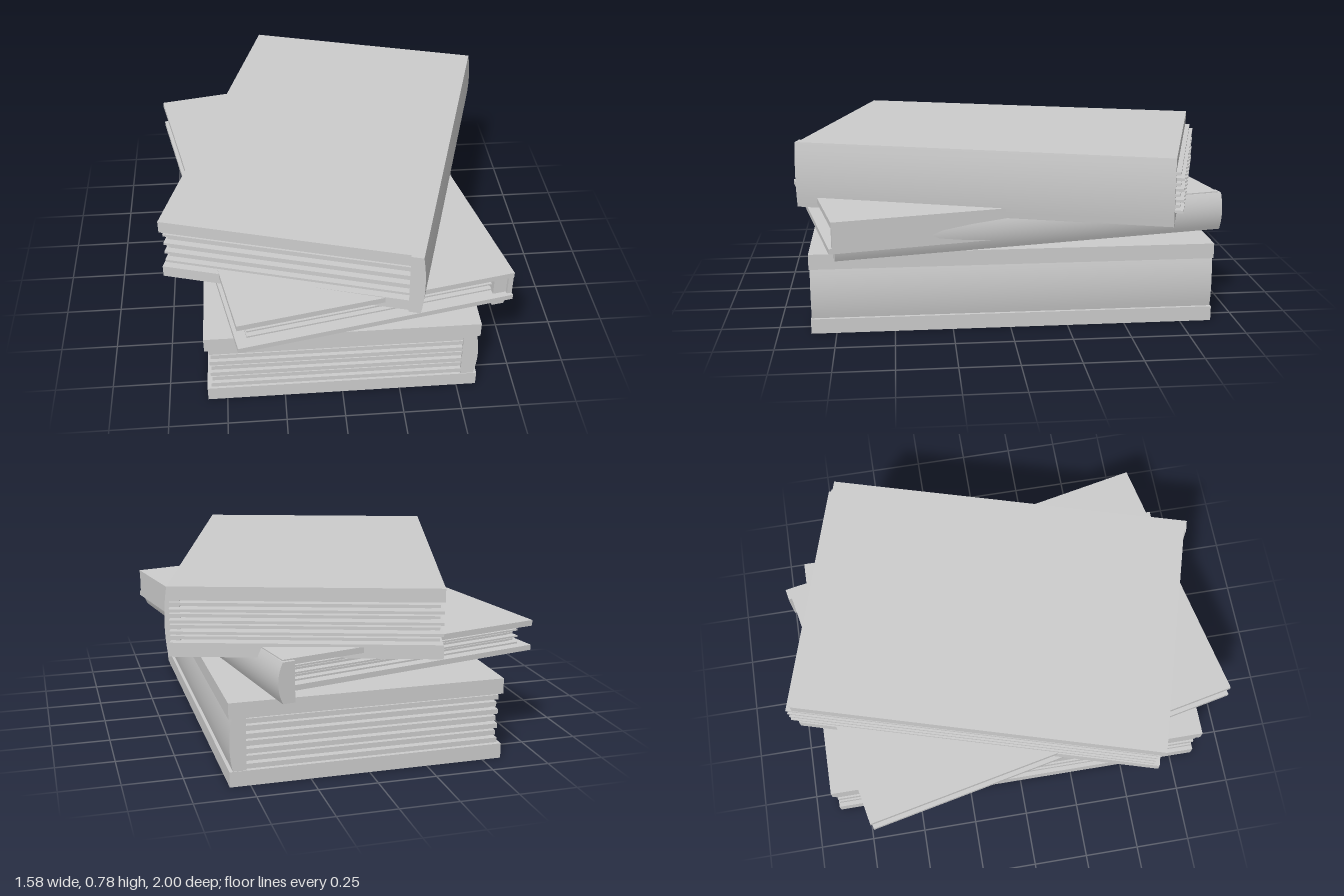
import * as THREE from 'three';

const paper = new THREE.MeshStandardMaterial({ color: 0xcccccc });
paper.name = 'plainGrey';

// Box given by its min and max corners
function block(name, x0, x1, y0, y1, z0, z1) {
  const geo = new THREE.BoxGeometry(x1 - x0, y1 - y0, z1 - z0);
  geo.translate((x0 + x1) / 2, (y0 + y1) / 2, (z0 + z1) / 2);
  const mesh = new THREE.Mesh(geo, paper);
  mesh.name = name;
  return mesh;
}

// Spine whose outer (+x) face bulges smoothly over its height
function spine(x0, x1, y0, y1, z0, z1, bulge) {
  const w = x1 - x0 - bulge, h = y1 - y0;
  const geo = new THREE.BoxGeometry(w, h, z1 - z0, 1, 10, 1);
  const p = geo.attributes.position;
  for (let i = 0; i < p.count; i++) {
    if (p.getX(i) > 0) {
      const t = (2 * p.getY(i)) / h;
      p.setX(i, w / 2 + bulge * (1 - t * t));
    }
  }
  geo.computeVertexNormals();
  geo.translate(x0 + w / 2, (y0 + y1) / 2, (z0 + z1) / 2);
  const mesh = new THREE.Mesh(geo, paper);
  mesh.name = 'spine';
  return mesh;
}

// Solid page core with thin leaves standing out of it
function pages({ x0, x1, y0, y1, z0, z1, leaves, fill, depth, stagger = 0 }) {
  const group = new THREE.Group();
  group.name = 'pages';
  group.add(block('pageCore', x0 + depth, x1, y0, y1, z0 + depth, z1 - depth));
  const pitch = (y1 - y0) / leaves;
  for (let i = 0; i < leaves; i++) {
    const y = y0 + (i + 0.5) * pitch, s = (i % 2) * stagger;
    group.add(block('leaf', x0 + s, x1, y - (pitch * fill) / 2, y + (pitch * fill) / 2, z0 + s, z1 - s));
  }
  return group;
}

function book(name, x, z, turn, parts) {
  const group = new THREE.Group();
  group.name = name;
  group.position.set(x, 0, z);
  group.rotation.y = turn;
  group.add(...parts);
  return group;
}

export function createModel() {
  const model = new THREE.Group();
  model.name = 'bookStack';

  // Thick bottom book, spine recessed between its covers
  model.add(book('bottomBook', 0, -0.015, 0, [
    block('bottomCover', -0.583, 0.585, 0, 0.065, -0.873, 0.873),
    block('topCover', -0.583, 0.585, 0.288, 0.355, -0.873, 0.873),
    spine(0.515, 0.583, 0.065, 0.288, -0.87, 0.87, 0.012),
    pages({ x0: -0.565, x1: 0.515, y0: 0.065, y1: 0.288, z0: -0.867, z1: 0.867, leaves: 7, fill: 0.65, depth: 0.03, stagger: 0.006 }),
  ]));

  // Thin middle book with a loose spine that hangs lower than the covers
  const middle = book('middleBook', -0.033, 0.02, 0.203, [
    block('bottomCover', -0.597, 0.597, 0.405, 0.428, -0.865, 0.88),
    block('topCover', -0.597, 0.597, 0.515, 0.54, -0.868, 0.868),
    block('hinge', 0.575, 0.597, 0.428, 0.515, -0.85, 0.865),
    pages({ x0: -0.55, x1: 0.575, y0: 0.428, y1: 0.515, z0: -0.83, z1: 0.83, leaves: 6, fill: 0.5, depth: 0.03, stagger: 0.015 }),
  ]);
  middle.rotation.z = -0.008;
  model.add(middle);
  model.add(book('looseSpine', 0.52, -0.11, 0.183, [
    spine(-0.03, 0.042, 0.36, 0.53, -0.868, 0.868, 0.02),
  ]));

  // Top book, full height spine, page block pushed out at the back
  const top = book('topBook', 0.024, -0.03, -0.29, [
    block('bottomCover', -0.555, 0.53, 0.49, 0.542, -0.815, 0.815),
    block('topCover', -0.555, 0.53, 0.725, 0.78, -0.815, 0.815),
    spine(0.495, 0.558, 0.49, 0.78, -0.815, 0.825, 0.012),
    pages({ x0: -0.55, x1: 0.535, y0: 0.542, y1: 0.725, z0: -0.85, z1: 0.79, leaves: 8, fill: 0.5, depth: 0.05, stagger: 0.015 }),
  ]);
  top.rotation.z = 0.003;
  model.add(top);

  return model;
}
